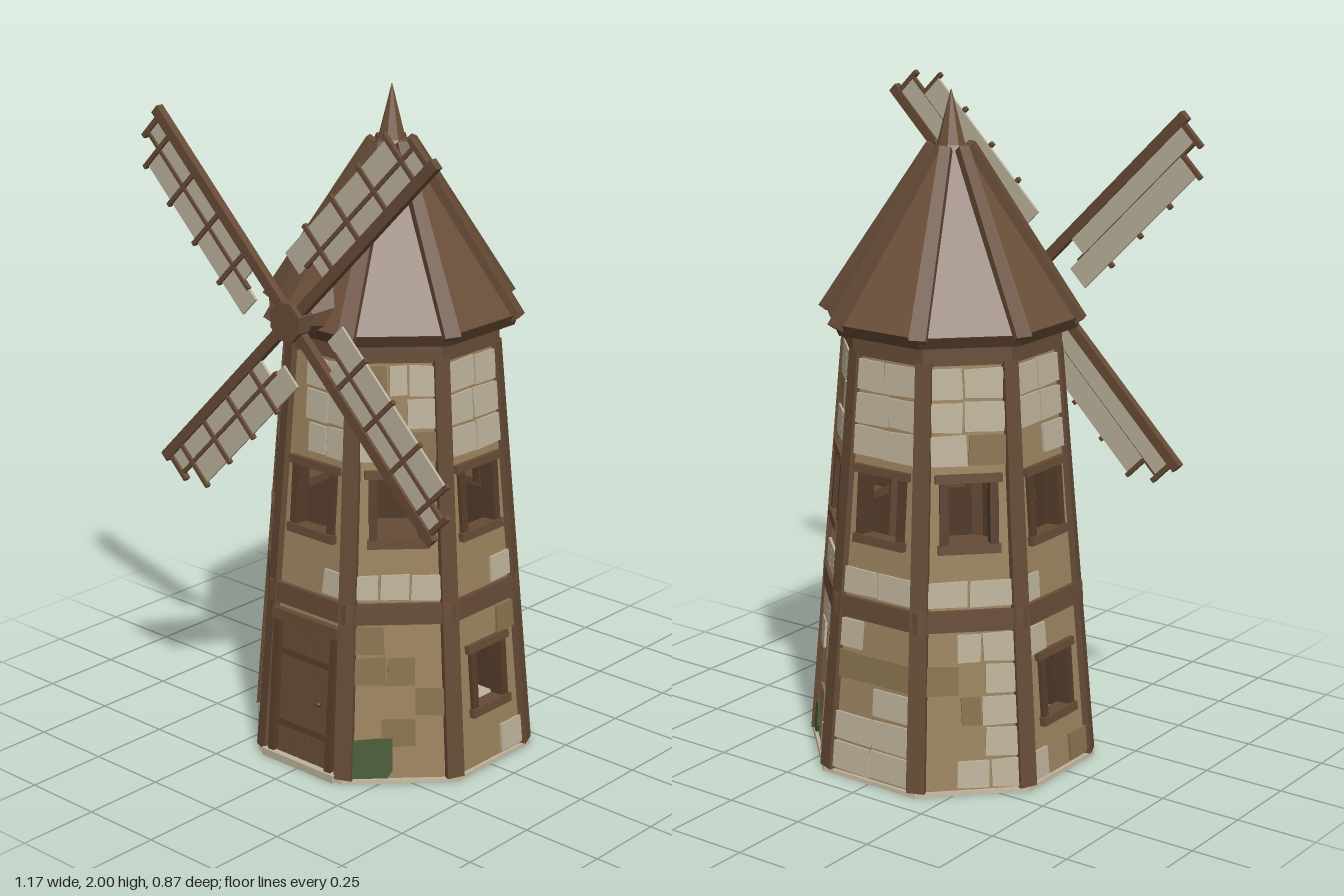
import * as THREE from 'three';

const mat = (name, color) => Object.assign(new THREE.MeshStandardMaterial({ color }), { name });
const M = {
  plaster: mat('tan wall', 0x9c835f),
  pale: mat('pale stone', 0xbdb29b),
  brown: mat('brown stone', 0x87724f),
  moss: mat('mossy stone', 0x4a5c39),
  wood: mat('wood', 0x664b36),
  dark: mat('dark wood', 0x553d2b),
  roof: mat('roof boards', 0x6c4f39),
  cloth: mat('sail cloth', 0xbdb29c),
};

const T8 = Math.PI / 8;
const Y0 = 0.01, Y1 = 1.27, A0 = 0.4, A1 = 0.297;      // wall heights and apothems
const TILT = Math.atan((A0 - A1) / (Y1 - Y0));
const apothem = (y) => A0 + (A1 - A0) * (y - Y0) / (Y1 - Y0);
const halfWidth = (y) => apothem(y) * Math.tan(T8);

function add(parent, name, geometry, material, x = 0, y = 0, z = 0) {
  const mesh = new THREE.Mesh(geometry, material);
  mesh.name = name;
  mesh.position.set(x, y, z);
  parent.add(mesh);
  return mesh;
}

function group(parent, name) {
  const g = new THREE.Group();
  g.name = name;
  parent.add(g);
  return g;
}

// box given by its limits on each axis
function block(parent, name, material, x0, x1, y0, y1, z0, z1) {
  return add(parent, name, new THREE.BoxGeometry(x1 - x0, y1 - y0, z1 - z0), material,
    (x0 + x1) / 2, (y0 + y1) / 2, (z0 + z1) / 2);
}

function flat(g) {
  const out = g.toNonIndexed();
  out.computeVertexNormals();
  return out;
}

// eight-sided ring or cone with flats facing the axes; radii are apothems
function octagon(parent, name, material, bottom, top, y0, y1) {
  const c = Math.cos(T8);
  const g = new THREE.CylinderGeometry(top / c, bottom / c, y1 - y0, 8);
  g.rotateY(T8);
  return add(parent, name, flat(g), material, 0, (y0 + y1) / 2, 0);
}

// tapered timber standing in the vertical plane of one corner
function cornerBeam(parent, name, angle, r0, y0, r1, y1, width, depth, taper) {
  const g = group(parent, name);
  g.rotation.y = angle;
  const geo = new THREE.BoxGeometry(width, Math.hypot(r1 - r0, y1 - y0), depth);
  const p = geo.attributes.position;
  for (let i = 0; i < p.count; i++) if (p.getY(i) > 0) p.setX(i, p.getX(i) * taper);
  const beam = add(g, name, geo, M.wood, 0, (y0 + y1) / 2, (r0 + r1) / 2);
  beam.rotation.x = Math.atan2(r1 - r0, y1 - y0);
}

const polygon = (pts) => new THREE.Shape(pts.map(([x, y]) => new THREE.Vector2(x, y)));
const rect = ([x0, x1, y0, y1]) => [[x0, y0], [x0, y1], [x1, y1], [x1, y0]];
const plate = (shape, depth) => new THREE.ExtrudeGeometry(shape, { depth, bevelEnabled: false });

let seed = 11;
const rand = () => (seed = (seed * 16807) % 2147483647) / 2147483647;

// stone courses of each side from top to bottom: P pale, B brown, . bare wall
const COURSES = [
  '.PP .PP .PP B.. ..P ... ... ... ... ...',
  'BPP P.P PPB PB. PPP B.. BB. ..B .B. ...',
  'PP PP PP ... ..P ..B ... ... ... ..P',
  'PP BP PP PP PPB PP P.P ..P .B. ..P',
  'PP PP PP .B PP P.. BB .P PP PP',
  'PP PP PB BP PP .PP B.P .BP ..P .PP',
  'PP PP .P ..P P.. P.. ... ... ... P.B',
  '..P B.. P.. P.. PP. ..P P.. PP. PP. PP.',
];
// top, bottom and number of courses in each band
const BANDS = [[1.252, 0.962, 3], [0.722, 0.548, 2], [0.478, 0.003, 5]];

function stones(face, courses, openings) {
  const rows = courses.split(' ');
  for (const [top, bottom, count] of BANDS) {
    const h = (top - bottom) / count;
    for (let r = 0; r < count; r++) {
      const row = rows.shift(), b = top - r * h - 0.003, a = b - h + 0.005;
      const w = halfWidth(b) - 0.018, n = row.length;
      const cut = (i) => -w + (2 * w * i) / n;
      let left = -w;
      for (let i = 0; i < n; i++) {
        const right = i === n - 1 ? w : cut(i + 1) + (rand() - 0.5) * 0.03;
        const j = () => rand() * 0.006;
        const pts = [[left + j(), a + j()], [right - j(), a + j()], [right - j(), b - j()], [left + j(), b - j()]];
        const blocked = openings.some((o) => right > o[0] && left < o[1] && b > o[2] - 0.01 && a < o[3] + 0.01);
        if (row[i] !== '.' && !blocked) {
          add(face, 'stone', plate(polygon(pts), 0.008), row[i] === 'P' ? M.pale : M.brown);
        }
        left = right;
      }
    }
  }
}

function windowFrame(face, [x0, x1, y0, y1]) {
  const g = group(face, 'window');
  for (const x of [x0, x1 - 0.025]) block(g, 'windowJamb', M.dark, x, x + 0.025, y0, y1, -0.035, 0.012);
  block(g, 'windowLintel', M.wood, x0 - 0.012, x1 + 0.012, y1 - 0.012, y1 + 0.012, -0.035, 0.016);
  block(g, 'windowSill', M.wood, x0 - 0.006, x1 + 0.006, y0 - 0.014, y0 + 0.012, -0.035, 0.019);
}

function door(face) {
  const g = group(face, 'door');
  for (let i = 0; i < 5; i++) {
    const x = -0.1 + i * 0.04;
    block(g, 'doorPlank', M.wood, x + 0.002, x + 0.038, 0.012, 0.43, -0.02, 0.006);
  }
  block(g, 'doorBacking', M.dark, -0.105, 0.105, 0.012, 0.435, -0.03, 0);
  for (const y of [0.1, 0.325]) block(g, 'doorBrace', M.dark, -0.095, 0.095, y, y + 0.02, 0.004, 0.012);
  for (const s of [-1, 1]) block(g, 'doorJamb', M.dark, s * 0.115 - 0.012, s * 0.115 + 0.012, 0, 0.44, -0.03, 0.018);
  block(g, 'doorLintel', M.wood, -0.13, 0.13, 0.43, 0.465, -0.03, 0.024);
  add(g, 'doorKnob', new THREE.SphereGeometry(0.008, 8, 6), M.dark, 0.065, 0.21, 0.014);
}

// one tilted side of the tower; local z points outward
function wallFace(tower, k) {
  const spin = group(tower, 'wallSide');
  spin.rotation.y = k * Math.PI / 4;
  const face = group(spin, 'wallFace');
  face.position.set(0, Y0, A0);
  face.rotation.x = -TILT;

  const upper = [-0.085, 0.085, 0.725, 0.93];
  const lower = [-0.08, 0.08, 0.175, 0.375];
  const doorway = [-0.115, 0.115, 0.004, 0.44];
  const windows = k % 4 === 2 ? [upper, lower] : [upper];
  const openings = k === 0 ? [upper, doorway] : windows;

  const h = Y1 - Y0, w0 = halfWidth(Y0), w1 = halfWidth(Y1);
  const panel = polygon([[-w0, 0], [w0, 0], [w1, h], [-w1, h]]);
  panel.holes = openings.map((o) => new THREE.Path(polygon(rect(o)).getPoints()));
  add(face, 'wall', plate(panel, 0.02), M.plaster, 0, 0, -0.02);
  add(face, 'wallLining', plate(panel, 0.008), M.dark, 0, 0, -0.028);

  windows.forEach((o) => windowFrame(face, o));
  if (k === 0) door(face);
  stones(face, COURSES[k], openings);

  if (k === 1 || k === 3) {
    const x = k === 1 ? -0.02 : -0.08, y = k === 1 ? 0.13 : 0.1;
    const shape = polygon([[-0.15, 0.005], [x - 0.015, 0.005], [x, 0.03], [x, y], [-0.14, y - 0.008]]);
    add(face, 'mossyStone', plate(shape, 0.009), M.moss);
  }
}

// one sail: local x runs out along the spar, local y across it
function sail(rotor, k) {
  const g = group(rotor, 'sail');
  g.rotation.z = Math.PI / 4 + k * Math.PI / 2;
  block(g, 'spar', M.wood, 0, 0.748, -0.018, 0.014, -0.011, 0.013);
  block(g, 'innerCloth', M.cloth, 0.19, 0.722, 0.012, 0.072, -0.005, 0.003);
  block(g, 'outerCloth', M.cloth, 0.122, 0.652, 0.075, 0.15, -0.005, 0.003);
  block(g, 'sailRail', M.wood, 0.16, 0.73, 0.069, 0.08, -0.004, 0.009);
  for (const x of [0.235, 0.375, 0.515, 0.652]) block(g, 'sailBatten', M.wood, x, x + 0.013, 0, 0.163, -0.003, 0.011);
  block(g, 'sailEnd', M.wood, 0.716, 0.731, 0, 0.098, -0.006, 0.011);
}

export function createModel() {
  const model = new THREE.Group();
  model.name = 'windmill';
  const tower = group(model, 'tower');
  tower.position.z = -0.015;

  // base, walls and belts
  octagon(tower, 'base', M.pale, 0.412, 0.41, 0, 0.012);
  for (let k = 0; k < 8; k++) wallFace(tower, k);
  octagon(tower, 'middleBelt', M.wood, 0.374, 0.37, 0.49, 0.552);
  octagon(tower, 'topBelt', M.wood, 0.306, 0.304, 1.262, 1.33);
  block(tower, 'doorStep', M.pale, -0.145, 0.145, 0, 0.024, 0.36, 0.425);

  // roof with spire
  octagon(tower, 'roofEave', M.dark, 0.345, 0.358, 1.322, 1.355);
  octagon(tower, 'roof', M.roof, 0.354, 0.002, 1.354, 1.9);
  octagon(tower, 'spire', M.roof, 0.042, 0.001, 1.83, 2);

  // corner posts and roof ridges
  const c = Math.cos(T8);
  for (let k = 0; k < 8; k++) {
    const angle = T8 + k * Math.PI / 4;
    cornerBeam(tower, 'cornerPost', angle, A0 / c - 0.015, Y0, A1 / c - 0.015, Y1, 0.055, 0.045, 0.85);
    cornerBeam(tower, 'roofRidge', angle, 0.386, 1.345, 0.06, 1.838, 0.05, 0.028, 0.65);
  }

  // hub and sails
  const rotor = group(model, 'rotor');
  rotor.position.set(0, 1.39, 0.405);
  const along = (name, r0, r1, z0, z1) => {
    const g = new THREE.CylinderGeometry(r1, r0, z1 - z0, 8);
    g.rotateY(T8);
    g.rotateX(Math.PI / 2);
    add(rotor, name, flat(g), M.wood, 0, 0, (z0 + z1) / 2);
  };
  along('axleMount', 0.08, 0.045, -0.135, -0.04);
  along('axle', 0.043, 0.043, -0.06, 0);
  along('hub', 0.06, 0.06, -0.015, 0.03);
  for (let k = 0; k < 4; k++) sail(rotor, k);
  return model;
}
